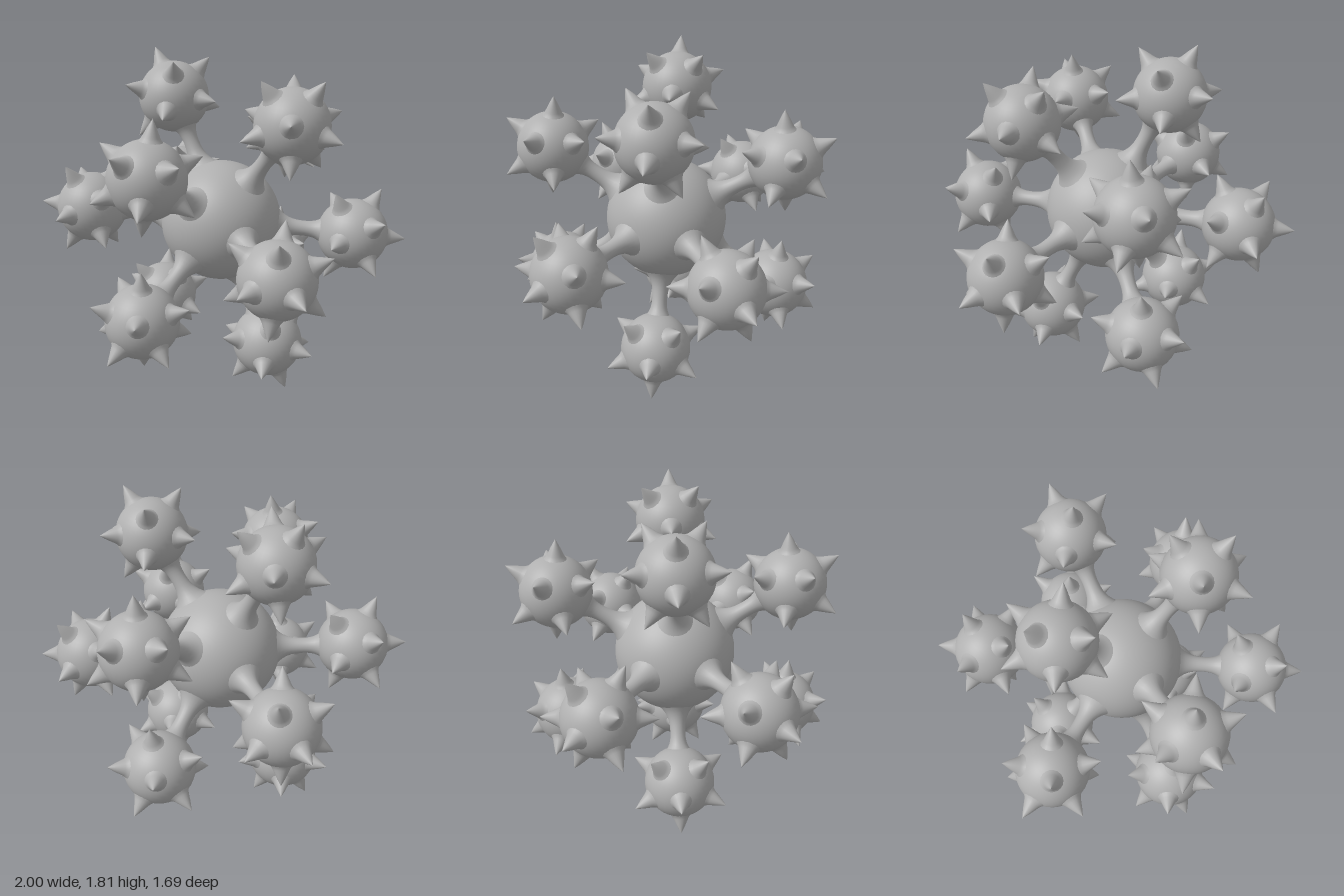
import * as THREE from 'three';

const CENTRE_Y = 0.91;
const CORE_RADIUS = 0.33;
const BALL_RADIUS = 0.192;
const BALL_DISTANCE = 0.727;
const UP = new THREE.Vector3(0, 1, 0);

// Twelve directions of a tilted icosahedron: a pole, the five around it, and their opposites
function icosahedralDirections() {
  const u = new THREE.Vector3(-0.71, 0.055, 0.115).normalize();
  const v = new THREE.Vector3(-0.2, 0.385, 0.57);
  v.addScaledVector(u, -v.dot(u)).normalize();
  const w = new THREE.Vector3().crossVectors(u, v);
  const half = [u.clone()];
  for (let k = 0; k < 5; k++) {
    const a = (k * 2 * Math.PI) / 5;
    half.push(
      u.clone().multiplyScalar(1 / Math.sqrt(5))
        .addScaledVector(v, (2 / Math.sqrt(5)) * Math.cos(a))
        .addScaledVector(w, (2 / Math.sqrt(5)) * Math.sin(a))
    );
  }
  return [...half, ...half.map((d) => d.clone().negate())];
}

// Smooth turned form from [radius, height] points
function turned(points, steps, sides) {
  const curve = new THREE.SplineCurve(points.map(([r, y]) => new THREE.Vector2(r, y)));
  const profile = curve.getPoints(steps);
  profile.forEach((p) => { p.x = Math.max(p.x, 0); });
  return new THREE.LatheGeometry(profile, sides);
}

export function createModel() {
  const model = new THREE.Group();
  model.name = 'spikedCluster';
  const grey = new THREE.MeshStandardMaterial({ color: 0xb0b0b0 });
  grey.name = 'grey';

  const add = (parent, name, geometry) => {
    const mesh = new THREE.Mesh(geometry, grey);
    mesh.name = name;
    parent.add(mesh);
    return mesh;
  };

  // Arm flares into the core and, less, into the ball
  const armGeometry = turned(
    [[0.115, 0.295], [0.075, 0.335], [0.05, 0.385], [0.042, 0.44], [0.043, 0.49], [0.053, 0.53], [0.075, 0.565]],
    14, 24
  );
  // Spike has a softly flared foot and a sharp tip
  const spikeGeometry = turned(
    [[0.064, 0.176], [0.048, 0.194], [0.038, 0.213], [0.021, 0.25], [0, 0.289]],
    10, 18
  );
  const ballGeometry = new THREE.SphereGeometry(BALL_RADIUS, 36, 24);

  const body = new THREE.Group();
  body.name = 'body';
  body.position.y = CENTRE_Y;
  model.add(body);
  add(body, 'core', new THREE.SphereGeometry(CORE_RADIUS, 56, 36));

  const directions = icosahedralDirections();
  for (const dir of directions) {
    const limb = new THREE.Group();
    limb.name = 'limb';
    body.add(limb);
    add(limb, 'arm', armGeometry).quaternion.setFromUnitVectors(UP, dir);

    const head = new THREE.Group();
    head.name = 'spikedBall';
    head.position.copy(dir).multiplyScalar(BALL_DISTANCE);
    limb.add(head);
    add(head, 'ball', ballGeometry);

    // Spikes mirror the arm directions, leaving out the one where the arm joins
    for (const other of directions) {
      if (other === dir) continue;
      const out = other.clone().reflect(dir).normalize();
      add(head, 'spike', spikeGeometry).quaternion.setFromUnitVectors(UP, out);
    }
  }
  return model;
}
